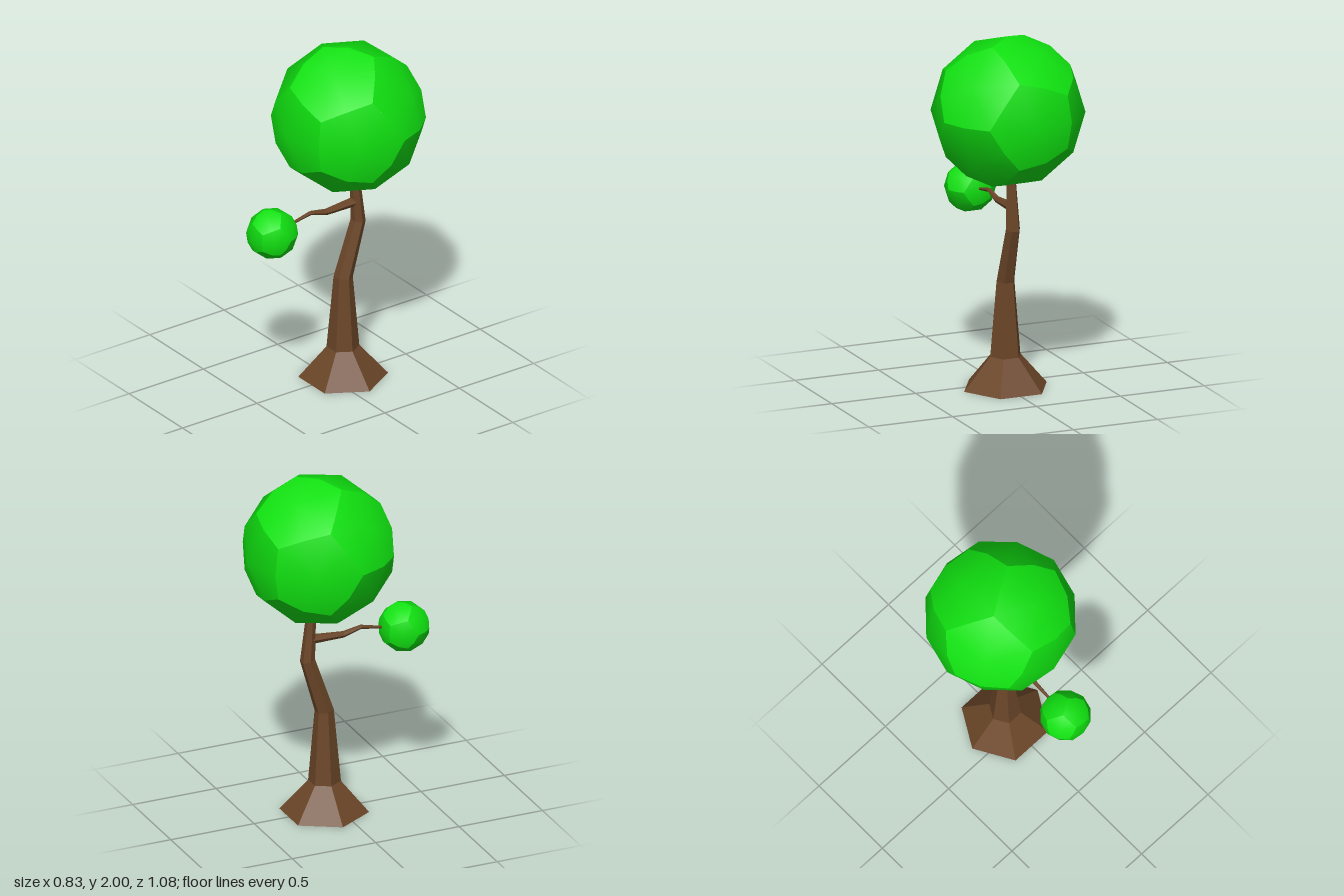
import * as THREE from 'three';

const bark = new THREE.MeshStandardMaterial({ color: 0x6b4628, flatShading: true });
const leaf = new THREE.MeshStandardMaterial({ color: 0x10e010 });

// Six-sided loft in the yz plane; each ring is [y, z, radius, tilt about x]
function loft(name, rings) {
  const sides = 6, pos = [], idx = [];
  for (const [y, z, r, tilt] of rings) {
    for (let j = 0; j < sides; j++) {
      const a = (j / sides) * Math.PI * 2, s = r * Math.sin(a);
      pos.push(r * Math.cos(a), y + s * Math.sin(tilt), z + s * Math.cos(tilt));
    }
  }
  for (let i = 0; i < rings.length - 1; i++) {
    for (let j = 0; j < sides; j++) {
      const a = i * sides + j, b = i * sides + (j + 1) % sides;
      idx.push(a, a + sides, b, b, a + sides, b + sides);
    }
  }
  // End caps
  const top = (rings.length - 1) * sides;
  for (let j = 1; j < sides - 1; j++) {
    idx.push(0, j, j + 1, top, top + j + 1, top + j);
  }
  const geo = new THREE.BufferGeometry();
  geo.setAttribute('position', new THREE.Float32BufferAttribute(pos, 3));
  geo.setIndex(idx);
  geo.computeVertexNormals();
  const mesh = new THREE.Mesh(geo, bark);
  mesh.name = name;
  return mesh;
}

// Unit-sphere point from the polar angle off +z and the azimuth (degrees)
function onSphere(polar, azimuth) {
  const p = THREE.MathUtils.degToRad(polar), a = THREE.MathUtils.degToRad(azimuth);
  return new THREE.Vector3(Math.sin(p) * Math.cos(a), Math.sin(p) * Math.sin(a), Math.cos(p));
}

// Ball of twelve domed pentagons: smooth inside each, creased between them
function foliageGeometry() {
  const face = [onSphere(0, 0)];
  for (let k = 0; k < 5; k++) {
    face.push(onSphere(37.377, 180 + 72 * k), onSphere(31.717, 216 + 72 * k));
  }
  // Half turns about the edge midpoints carry the front pentagon to its neighbours
  const turns = [new THREE.Quaternion()];
  for (let k = 0; k < 5; k++) {
    turns.push(new THREE.Quaternion().setFromAxisAngle(face[2 + 2 * k], Math.PI));
  }
  const back = new THREE.Quaternion().setFromAxisAngle(new THREE.Vector3(0, 1, 0), Math.PI);
  const pos = [], idx = [];
  for (const turn of [...turns, ...turns.map((q) => back.clone().multiply(q))]) {
    const base = pos.length / 3;
    for (const v of face) pos.push(...v.clone().applyQuaternion(turn).toArray());
    for (let j = 0; j < 10; j++) idx.push(base, base + 1 + j, base + 1 + (j + 1) % 10);
  }
  const geo = new THREE.BufferGeometry();
  geo.setAttribute('position', new THREE.Float32BufferAttribute(pos, 3));
  geo.setIndex(idx);
  geo.computeVertexNormals();
  return geo;
}

export function createModel() {
  const tree = new THREE.Group();
  tree.name = 'tree';

  // Flared, crooked trunk
  tree.add(loft('trunk', [
    [0, -0.08, 0.246, 0],
    [0.18, -0.078, 0.09, 0],
    [0.605, -0.08, 0.053, 0.1],
    [0.922, -0.18, 0.042, 0.2],
    [1.2, -0.158, 0.027, 0],
  ]));

  // Thin branch reaching forward
  const up = -Math.PI / 2;
  tree.add(loft('branch', [
    [1.043, -0.16, 0.027, up],
    [1.035, 0.035, 0.018, up],
    [1.06, 0.14, 0.012, up],
    [1.035, 0.26, 0.008, up],
    [1.025, 0.31, 0.007, up],
  ]));

  // Crown and the small leaf ball on the branch
  const geo = foliageGeometry();
  for (const [name, y, z, r] of [['crown', 1.577, -0.115, 0.423], ['branchFoliage', 1.014, 0.398, 0.142]]) {
    const ball = new THREE.Mesh(geo, leaf);
    ball.name = name;
    ball.position.set(0, y, z);
    ball.scale.setScalar(r);
    tree.add(ball);
  }
  return tree;
}
